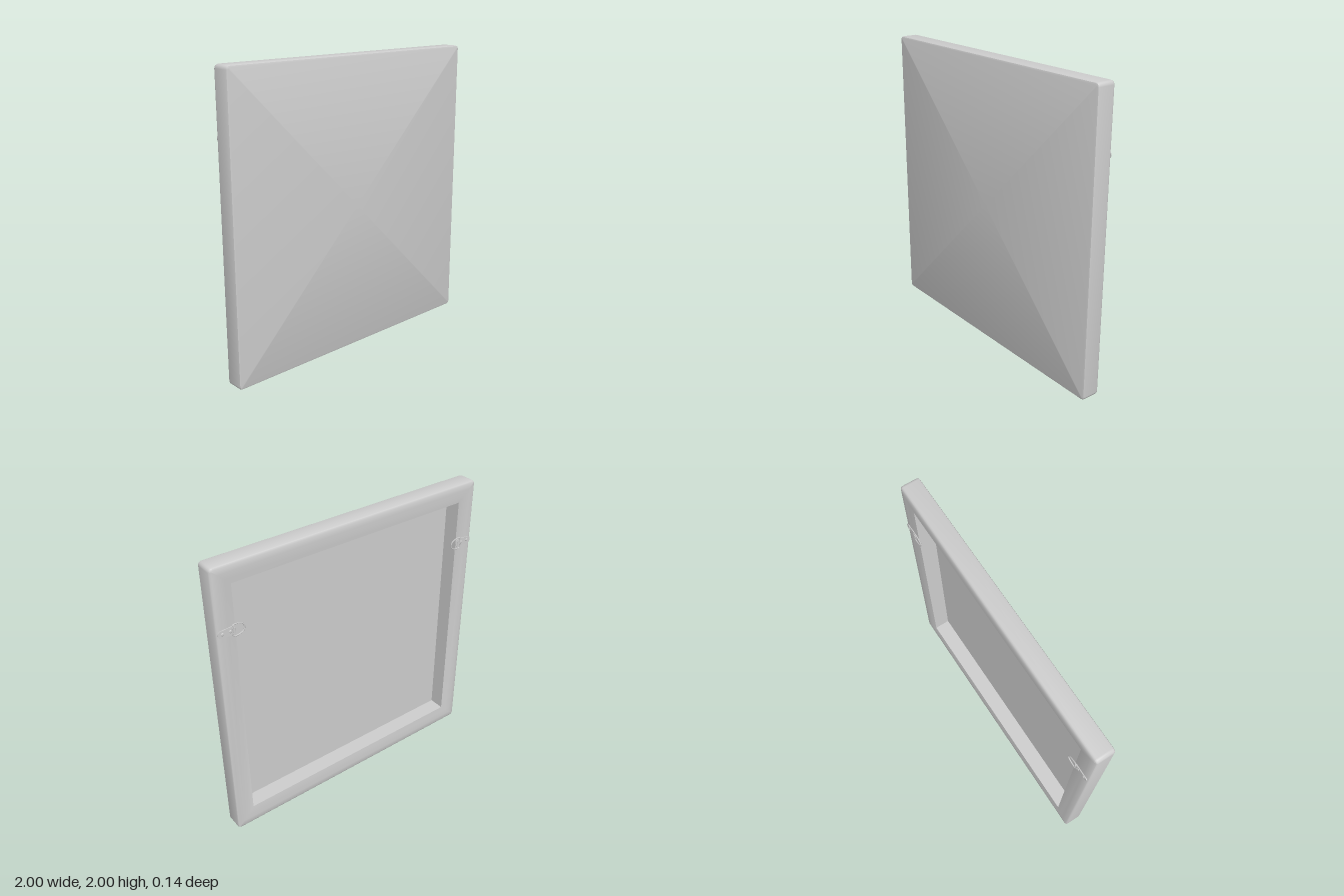
import * as THREE from 'three';
import { toCreasedNormals } from 'three/addons/utils/BufferGeometryUtils.js';

const ARC = 4; // segments per rounded corner

// Rounded square outline, inset from the full size, counter-clockwise
function ring(inset, z, radius = 0.025) {
  const half = 1 - inset;
  const r = Math.max(0, radius - inset);
  const pts = [];
  for (let c = 0; c < 4; c++) {
    const mid = Math.PI / 4 + c * Math.PI / 2;
    const cx = Math.sign(Math.cos(mid)) * (half - r);
    const cy = Math.sign(Math.sin(mid)) * (half - r);
    for (let k = 0; k <= ARC; k++) {
      const a = c * Math.PI / 2 + (k / ARC) * Math.PI / 2;
      pts.push(new THREE.Vector3(cx + r * Math.cos(a), cy + r * Math.sin(a), z));
    }
  }
  return pts;
}

// Skin the rings of an [inset, z] profile, leaving out empty triangles
function skin(profile) {
  const rings = profile.map(([inset, z]) => ring(inset, z));
  const pos = [];
  const tri = (a, b, c) => {
    if (new THREE.Triangle(a, b, c).getArea() < 1e-9) return;
    for (const p of [a, b, c]) pos.push(p.x, p.y, p.z);
  };
  for (let i = 0; i < rings.length - 1; i++) {
    const A = rings[i], B = rings[i + 1], n = A.length;
    for (let j = 0; j < n; j++) {
      const k = (j + 1) % n;
      tri(A[j], B[j], B[k]);
      tri(A[j], B[k], A[k]);
    }
  }
  const geo = new THREE.BufferGeometry();
  geo.setAttribute('position', new THREE.Float32BufferAttribute(pos, 3));
  return toCreasedNormals(geo, 0.7);
}

function createHanger(material) {
  const hanger = new THREE.Group();
  const add = (name, geo, x = 0, z = 0) => {
    const mesh = new THREE.Mesh(geo, material);
    mesh.name = name;
    mesh.position.set(x, 0, z);
    hanger.add(mesh);
    return mesh;
  };

  // Strap plate with rounded ends; local x runs outward along the bar
  const shape = new THREE.Shape();
  shape.absarc(0.035, 0, 0.024, -Math.PI / 2, Math.PI / 2, false);
  shape.absarc(-0.045, 0, 0.03, Math.PI / 2, Math.PI * 1.5, false);
  add('strapPlate', new THREE.ExtrudeGeometry(shape, { depth: 0.005, bevelEnabled: false, curveSegments: 10 }), 0, -0.003);

  // Two domed screw heads
  for (const x of [-0.025, 0.027]) {
    add('screwHead', new THREE.SphereGeometry(0.011, 12, 8), x, -0.003).scale.z = 0.4;
  }

  // D-shaped wire ring and the rolled loop that holds it
  const path = new THREE.CatmullRomCurve3([
    [-0.04, 0.036], [-0.075, 0.038], [-0.11, 0.022], [-0.118, 0],
    [-0.11, -0.022], [-0.075, -0.038], [-0.04, -0.036], [-0.036, 0],
  ].map(([x, y]) => new THREE.Vector3(x, y, 0)), true);
  add('wireRing', new THREE.TubeGeometry(path, 40, 0.004, 6, true), 0, -0.004);
  const loop = add('ringLoop', new THREE.CylinderGeometry(0.006, 0.006, 0.04, 10), -0.05, -0.003);
  loop.name = 'ringLoop';
  return hanger;
}

export function createModel() {
  const model = new THREE.Group();
  model.name = 'stretchedCanvas';
  const grey = new THREE.MeshStandardMaterial({ color: 0xcccccc });
  grey.name = 'plain grey';

  // Front sheet, wrapped edges, softly domed back bars and recessed inner side
  const canvas = new THREE.Mesh(skin([
    [1, 0.07], [0.014, 0.07], [0.004, 0.066], [0, 0.056],
    [0, -0.044], [0.004, -0.053], [0.014, -0.058], [0.05, -0.059],
    [0.09, -0.057], [0.13, -0.051], [0.13, 0.06], [1, 0.06],
  ]), grey);
  canvas.name = 'canvasAndFrame';
  canvas.position.y = 1;
  model.add(canvas);

  // Mirrored pair of hangers on the back of the side bars
  for (const side of [1, -1]) {
    const hanger = createHanger(grey);
    hanger.name = side > 0 ? 'leftHanger' : 'rightHanger';
    hanger.position.set(side * 0.935, 1.575, -0.061);
    // Turning about z keeps the back-facing side outward
    if (side < 0) hanger.rotation.z = Math.PI;
    model.add(hanger);
  }
  return model;
}
